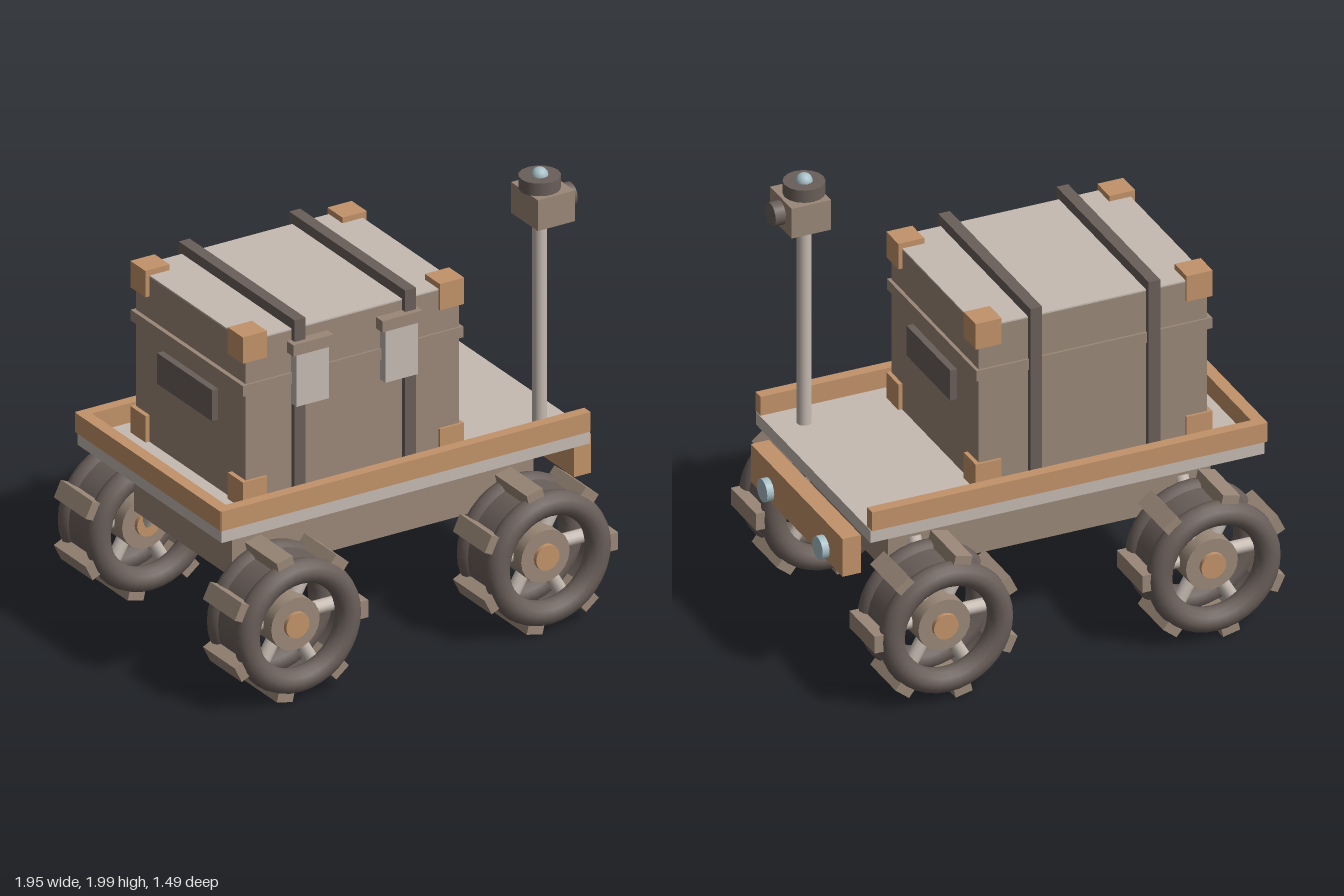
import * as THREE from 'three';

const mat = (name, color) => {
  const m = new THREE.MeshStandardMaterial({ color });
  m.name = name;
  return m;
};

export function createModel() {
  const root = new THREE.Group();
  root.name = 'cargoRover';
  const taupe = mat('taupe', 0x9a8878);
  const pale = mat('paleGrey', 0xc6bbb2);
  const dark = mat('darkBrown', 0x6a5f5a);
  const copper = mat('copper', 0xc2936a);
  const glass = mat('paleBlue', 0xa6bec6);

  const add = (parent, name, geo, material, x = 0, y = 0, z = 0) => {
    const m = new THREE.Mesh(geo, material);
    m.name = name;
    m.position.set(x, y, z);
    parent.add(m);
    return m;
  };
  // Box given by its min and max along each axis
  const box = (parent, name, material, [x0, x1], [y0, y1], [z0, z1]) =>
    add(parent, name, new THREE.BoxGeometry(x1 - x0, y1 - y0, z1 - z0), material,
      (x0 + x1) / 2, (y0 + y1) / 2, (z0 + z1) / 2);
  // Cylinder running between two points
  const rod = (parent, name, material, a, b, r, sides = 16) => {
    const p = new THREE.Vector3(...a), q = new THREE.Vector3(...b);
    const d = q.clone().sub(p);
    const m = add(parent, name, new THREE.CylinderGeometry(r, r, d.length(), sides), material);
    m.position.copy(p).add(q).multiplyScalar(0.5);
    m.quaternion.setFromUnitVectors(new THREE.Vector3(0, 1, 0), d.normalize());
    return m;
  };

  // Chassis, deck and three-sided rail
  box(root, 'chassis', taupe, [-0.785, 0.705], [0.475, 0.73], [-0.385, 0.385]);
  box(root, 'deck', pale, [-0.95, 0.87], [0.75, 0.81], [-0.565, 0.565]);
  for (const s of [-1, 1]) {
    const z = [0.525 * s, 0.575 * s].sort((a, b) => a - b);
    box(root, 'sideRail', copper, [-0.955, 0.867], [0.81, 0.9], z);
  }
  box(root, 'endRail', copper, [-0.96, -0.905], [0.81, 0.9], [-0.57, 0.57]);

  // Bumper with two lamps
  box(root, 'bumper', copper, [0.862, 0.946], [0.55, 0.73], [-0.453, 0.453]);
  for (const z of [-0.273, 0.273])
    rod(root, 'headlamp', glass, [0.93, 0.605, z], [0.978, 0.605, z], 0.052);

  // Crate with lid seam, straps, corner guards, handles and latches
  const crate = new THREE.Group();
  crate.name = 'crate';
  root.add(crate);
  box(crate, 'crateBody', taupe, [-0.747, 0.307], [0.81, 1.573], [-0.43, 0.43]);
  box(crate, 'lidTop', pale, [-0.747, 0.307], [1.573, 1.58], [-0.43, 0.43]);
  box(crate, 'lidSeam', taupe, [-0.767, 0.323], [1.33, 1.38], [-0.44, 0.44]);
  for (const x of [-0.493, 0.053])
    box(crate, 'strap', dark, [x - 0.027, x + 0.027], [0.812, 1.627], [-0.455, 0.455]);
  for (const x of [-0.708, 0.266])
    for (const y of [0.873, 1.545])
      for (const z of [-0.382, 0.382])
        add(crate, 'cornerGuard', new THREE.BoxGeometry(0.12, 0.122, 0.118), copper, x, y, z);
  box(crate, 'handleLeft', dark, [0.3, 0.338], [1.13, 1.273], [-0.215, 0.215]);
  box(crate, 'handleRight', dark, [-0.778, -0.74], [1.13, 1.273], [-0.215, 0.215]);
  for (const x of [-0.443, -0.003]) {
    box(crate, 'latchPlate', pale, [x - 0.08, x + 0.08], [1.235, 1.48], [0.43, 0.473]);
    box(crate, 'latchCap', taupe, [x - 0.1, x + 0.1], [1.476, 1.528], [0.43, 0.48]);
  }

  // Sensor mast
  const mast = new THREE.Group();
  mast.name = 'sensorMast';
  mast.position.set(0.725, 0, 0.4);
  root.add(mast);
  rod(mast, 'mastPole', pale, [0, 0.8, 0], [0, 1.78, 0], 0.032);
  box(mast, 'sensorHead', taupe, [-0.075, 0.107], [1.765, 1.907], [-0.106, 0.106]);
  rod(mast, 'sensorLens', dark, [0.1, 1.838, 0], [0.155, 1.838, 0], 0.053);
  rod(mast, 'sensorCap', dark, [0, 1.905, 0], [0, 1.965, 0], 0.09);
  add(mast, 'beacon', new THREE.SphereGeometry(0.037, 16, 12), glass, 0, 1.963, 0);

  // Wheel: two rim rings, a drum, seven lugs, six spokes and a hub
  const tread = dark.clone();
  tread.name = 'darkBrownOpen';
  tread.side = THREE.DoubleSide;
  const makeWheel = () => {
    const w = new THREE.Group();
    w.name = 'wheel';
    for (const z of [-0.105, 0.105])
      add(w, 'tyreRing', new THREE.TorusGeometry(0.25, 0.055, 12, 36), dark, 0, 0, z);
    add(w, 'tyreDrum', new THREE.CylinderGeometry(0.285, 0.285, 0.21, 36, 1, true), tread)
      .rotation.x = Math.PI / 2;
    for (let i = 0; i < 7; i++) {
      const a = i * Math.PI * 2 / 7;
      add(w, 'lug', new THREE.BoxGeometry(0.06, 0.08, 0.25), taupe,
        0.308 * Math.cos(a), 0.308 * Math.sin(a), 0).rotation.z = a;
    }
    for (let i = 0; i < 6; i++) {
      const a = i * Math.PI / 3, c = Math.cos(a), s = Math.sin(a);
      rod(w, 'spoke', pale, [0.05 * c, 0.05 * s, 0], [0.28 * c, 0.28 * s, 0], 0.031, 12);
    }
    rod(w, 'hub', taupe, [0, 0, -0.09], [0, 0, 0.09], 0.12, 20);
    rod(w, 'hubCap', copper, [0, 0, -0.11], [0, 0, 0.11], 0.058);
    return w;
  };
  for (const x of [-0.655, 0.58])
    for (const s of [-1, 1]) {
      const w = makeWheel();
      w.position.set(x, 0.345, 0.585 * s);
      root.add(w);
      rod(root, 'wheelStrut', pale, [x, 0.345, 0.5 * s], [x, 0.62, 0.37 * s], 0.032, 12);
    }
  return root;
}
